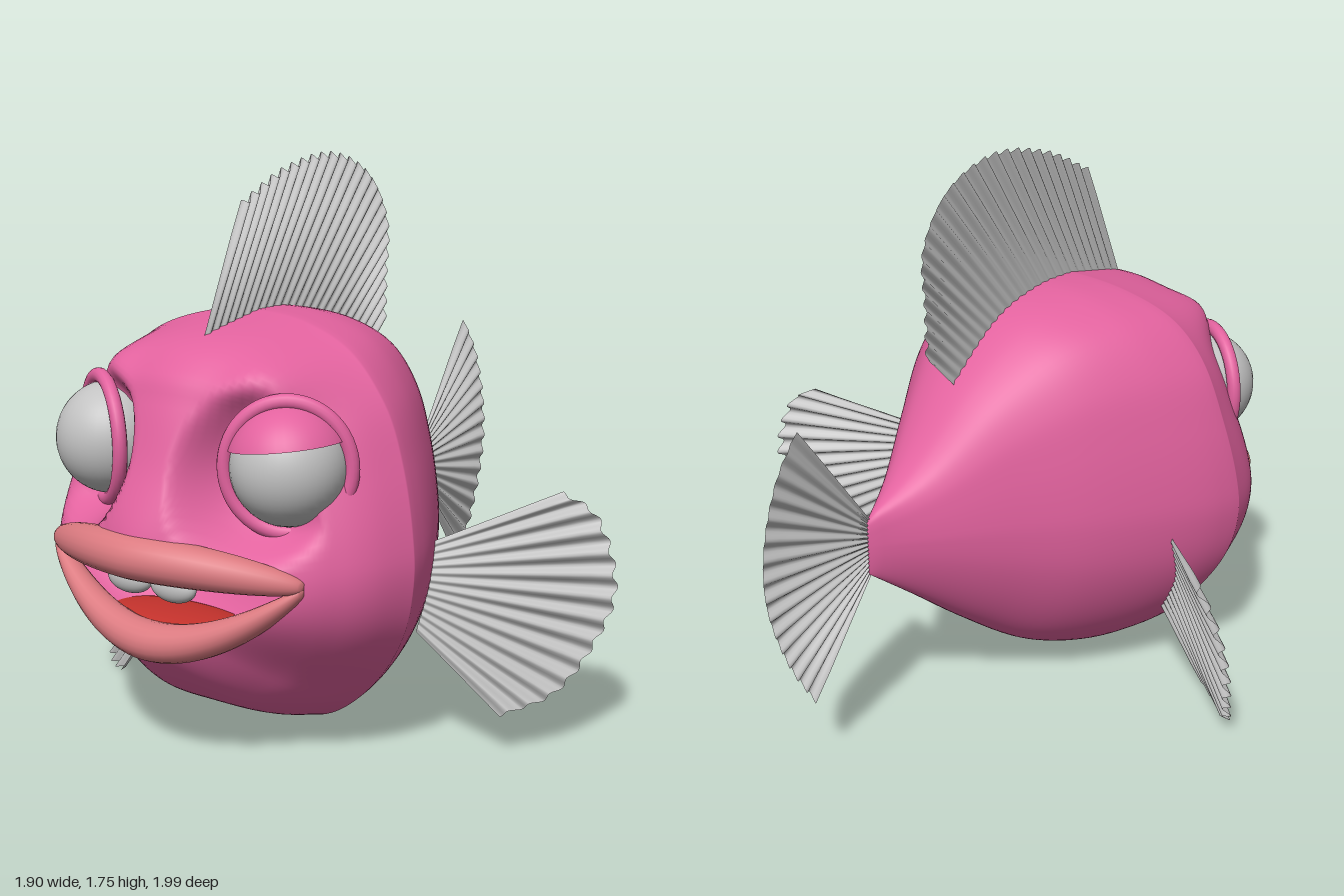
import * as THREE from 'three';

const mat = (name, color, side = THREE.FrontSide) => {
  const m = new THREE.MeshStandardMaterial({ color, side });
  m.name = name;
  return m;
};
const pink = mat('pink skin', 0xe2629e);
const lidPink = mat('eyelid pink', 0xe2629e, THREE.DoubleSide);
const salmon = mat('salmon lips', 0xdb7a80);
const grey = mat('pale grey', 0xc2c2c2);
const finGrey = mat('fin grey', 0xc2c2c2, THREE.DoubleSide);
const red = mat('tongue red', 0xc4322c);

const CX = -0.06;   // body centre line
const CY = 0.58;    // mouth height
const { lerp, smoothstep } = THREE.MathUtils;

// Grid surface from a rule (i, j) -> [x, y, z], optionally closed along j
function surface(ni, nj, closed, rule) {
  const pos = [], index = [], cols = closed ? nj : nj + 1;
  for (let i = 0; i <= ni; i++) for (let j = 0; j < cols; j++) pos.push(...rule(i, j));
  for (let i = 0; i < ni; i++) for (let j = 0; j < nj; j++) {
    const k = (j + 1) % cols;
    const a = i * cols + j, b = a + cols, c = (i + 1) * cols + k, d = i * cols + k;
    index.push(a, b, c, a, c, d);
  }
  const g = new THREE.BufferGeometry();
  g.setAttribute('position', new THREE.Float32BufferAttribute(pos, 3));
  g.setIndex(index);
  g.computeVertexNormals();
  return g;
}

function add(parent, name, geometry, material) {
  const m = new THREE.Mesh(geometry, material);
  m.name = name;
  parent.add(m);
  return m;
}

// Smooth lookup table
function table(xs, ys) {
  const f = new THREE.CubicInterpolant(new Float32Array(xs), new Float32Array(ys), 1);
  return (x) => f.evaluate(x)[0];
}

// Face depth from the mouth (0) to the widest outline (1): down, low cheek, side, eye, up
const STEPS = [0, 0.2, 0.45, 0.7, 0.82, 0.93, 1];
const FACE = [
  [0.95, 0.92, 0.84, 0.70, 0.60, 0.46, 0.32],
  [0.95, 0.91, 0.82, 0.69, 0.61, 0.50, 0.40],
  [0.97, 0.94, 0.87, 0.78, 0.70, 0.59, 0.46],
  [0.97, 0.94, 0.85, 0.72, 0.64, 0.53, 0.42],
  [0.97, 0.95, 0.87, 0.80, 0.75, 0.61, 0.36],
].map((row) => table(STEPS, row));

function faceDepth(x, y, s) {
  const k = (Math.atan2(y - CY, Math.abs(x)) / Math.PI + 0.5) * 4;
  const n = Math.min(3, Math.floor(k));
  let z = lerp(FACE[n](s), FACE[n + 1](s), smoothstep(k - n, 0, 1));
  const ax = Math.abs(x);
  // brow bulge and eye socket
  const brow = Math.hypot(ax - 0.28, y - 1.16) / 0.1;
  z += 0.07 * Math.exp(-brow * brow) * smoothstep(1 - s, 0, 0.1);
  const d = Math.hypot(ax - 0.335, y - 0.92);
  return lerp(z, Math.min(z, 0.68), 1 - smoothstep(d, 0.16, 0.27));
}

// Body sizes along z, from the tail root forward
const ZS = [-0.58, -0.4, -0.2, 0, 0.2, 0.35, 0.47];
const halfWidth = table(ZS, [0.012, 0.13, 0.27, 0.42, 0.535, 0.6, 0.63]);
const topY = table(ZS, [0.75, 0.87, 1.08, 1.24, 1.3, 1.305, 1.3]);
const bottomY = table(ZS, [0.57, 0.43, 0.27, 0.13, 0.055, 0.04, 0.045]);

function bodyGeometry() {
  const upper = [[0.63, 0.6], [0.62, 0.72], [0.575, 0.9], [0.5, 1.08], [0.38, 1.21], [0.2, 1.28]];
  const lower = [[0.6, 0.45], [0.5, 0.28], [0.35, 0.13], [0.2, 0.055]];
  const flip = (pts) => pts.map(([x, y]) => [-x, y]);
  const ring = [...upper, [0, 1.3], ...flip(upper).reverse(), ...flip(lower), [0, 0.04], ...lower.slice().reverse()];
  const curve = new THREE.CatmullRomCurve3(ring.map(([x, y]) => new THREE.Vector3(x, y, 0)), true);
  const N = 144, POCKET = 3, FRONT = 36, BACK = 30;
  const outline = curve.getSpacedPoints(N);

  return surface(POCKET + FRONT + BACK + 1, N, true, (i, j) => {
    const o = outline[j], r = Math.hypot(o.x, o.y - CY);
    const dx = o.x / r, dy = (o.y - CY) / r;
    // distance to the lens-shaped mouth along this ray
    const H = dy > 0 ? 0.13 : 0.17, A = H * dx * dx / 0.2116;
    const lens = 2 * H / (Math.abs(dy) + Math.sqrt(dy * dy + 4 * A * H));
    const at = (d, z) => [CX + dx * d, CY + dy * d, z];
    const lipZ = faceDepth(dx * lens, CY + dy * lens, lens / r);
    if (i === 0) return at(0, 0.6);
    if (i === 1) return at(lens * 0.85, 0.67);
    if (i === 2) return at(lens * 0.95, lipZ - 0.06);
    if (i <= POCKET + FRONT) {
      const t = 1 - Math.pow(1 - (i - POCKET) / FRONT, 1.5);
      const s = lerp(lens / r, 1, t);
      return at(s * r, faceDepth(dx * s * r, CY + dy * s * r, s));
    }
    // taper back to the tail root
    const u = Math.min(1, (i - POCKET - FRONT) / BACK);
    const z0 = faceDepth(o.x, o.y, 1), z = lerp(z0, -0.58, u);
    if (i > POCKET + FRONT + BACK) return [CX, 0.66, -0.58];
    const mid = lerp(CY, 0.66, u), edge = dy > 0 ? topY : bottomY;
    return [CX + o.x * halfWidth(z) / halfWidth(z0),
      mid + (o.y - CY) * (edge(z) - mid) / (edge(z0) - CY), z];
  });
}

// Tapered lip, bowed forward in the middle
function lipGeometry(y, rise, z, zEnd, radius) {
  return surface(48, 20, true, (i, j) => {
    const t = -Math.cos(Math.PI * i / 48), a = j / 20 * Math.PI * 2;
    const r = i % 48 === 0 ? 0 : radius * Math.sqrt(1 - t * t) + 0.008;
    return [CX + t * 0.465, y + rise * t * t + r * Math.cos(a),
      lerp(z, zEnd, Math.pow(Math.abs(t), 1.7)) - r * 1.05 * Math.sin(a)];
  });
}

// Pleated fan between a root curve and a scalloped outer curve
function finGeometry(root, rim, ribs, depth) {
  const spline = (pts) => new THREE.CatmullRomCurve3(pts.map((p) => new THREE.Vector3(...p)));
  const a = spline(root), b = spline(rim), nu = ribs * 8, nv = 8;
  const normal = b.getPoint(0.5).sub(a.getPoint(0.5))
    .cross(a.getPoint(1).sub(a.getPoint(0))).normalize();
  const ra = a.getSpacedPoints(nu), rb = b.getSpacedPoints(nu);
  return surface(nu, nv, false, (i, j) => {
    const v = j / nv, wave = Math.cos(i / nu * ribs * Math.PI * 2);
    const p = ra[i].clone().lerp(rb[i], v * (1 + 0.02 * wave * v));
    return p.addScaledVector(normal, depth * wave * Math.min(1, 0.25 + v)).toArray();
  });
}

export function createModel() {
  const model = new THREE.Group();
  model.name = 'fish';
  add(model, 'body', bodyGeometry(), pink);

  // Mouth
  add(model, 'upperLip', lipGeometry(0.668, -0.05, 0.93, 0.765, 0.058), salmon);
  add(model, 'lowerLip', lipGeometry(0.402, 0.2, 0.87, 0.765, 0.05), salmon);
  const ball = new THREE.SphereGeometry(1, 40, 28);
  for (const side of [-1, 1]) {
    const tooth = add(model, side < 0 ? 'rightTooth' : 'leftTooth', ball, grey);
    tooth.position.set(CX + side * 0.082, 0.575, 0.86);
    tooth.scale.set(0.08, 0.045, 0.035);
  }
  const tongue = add(model, 'tongue', ball, red);
  tongue.position.set(CX, 0.44, 0.75);
  tongue.scale.set(0.27, 0.03, 0.12);

  // Eyes with skin rims
  for (const side of [-1, 1]) {
    const eye = new THREE.Group();
    eye.name = side < 0 ? 'rightEye' : 'leftEye';
    eye.position.set(CX + side * 0.335, 0.92, 0.65);
    model.add(eye);
    add(eye, 'eyeball', ball, grey).scale.set(0.168, 0.172, 0.17);
    const rim = add(eye, 'eyeRim', new THREE.TorusGeometry(0.178, 0.022, 14, 56), pink);
    rim.rotation.y = side * 0.53;
    rim.position.set(side * 0.015, 0, 0.026);
    rim.scale.y = 1.05;
    if (side > 0) {
      // drooping upper lid
      const lid = add(eye, 'eyelid', new THREE.SphereGeometry(0.18, 40, 16, 0, Math.PI * 2, 0, 1.22), lidPink);
      lid.rotation.z = 0.12;
    }
  }

  // Fins
  add(model, 'dorsalFin', finGeometry(
    [[CX, 1.22, 0.62], [CX, 1.27, 0.3], [CX, 1.21, 0], [CX, 1.07, -0.2]],
    [[-0.04, 1.62, 0.45], [-0.035, 1.71, 0.25], [-0.033, 1.745, 0], [-0.036, 1.67, -0.2],
      [-0.045, 1.52, -0.31], [-0.05, 1.35, -0.31], [-0.055, 1.18, -0.31]], 24, 0.011), finGrey);
  add(model, 'tailFin', finGeometry(
    [[CX, 0.75, -0.57], [CX, 0.66, -0.57], [CX, 0.57, -0.57]],
    [[CX, 1.12, -0.84], [CX, 1.0, -0.92], [CX, 0.8, -0.98], [CX, 0.62, -0.98],
      [CX, 0.4, -0.91], [CX, 0.24, -0.82]], 15, 0.011), finGrey);
  add(model, 'leftPectoralFin', finGeometry(
    [[0.49, 0.64, 0.23], [0.5, 0.52, 0.27], [0.48, 0.38, 0.31]],
    [[0.78, 0.78, -0.01], [0.87, 0.72, -0.05], [0.94, 0.5, -0.06], [0.9, 0.33, 0],
      [0.83, 0.2, 0.1], [0.72, 0.145, 0.23]], 13, 0.012), finGrey);
  add(model, 'rightPectoralFin', finGeometry(
    [[-0.6, 0.57, 0.22], [-0.59, 0.41, 0.27], [-0.51, 0.25, 0.31]],
    [[-0.85, 0.59, 0], [-0.92, 0.5, -0.01], [-0.95, 0.33, 0.03], [-0.92, 0.15, 0.1],
      [-0.87, 0.04, 0.18], [-0.78, 0.015, 0.27], [-0.66, 0.025, 0.35]], 13, 0.012), finGrey);
  return model;
}
